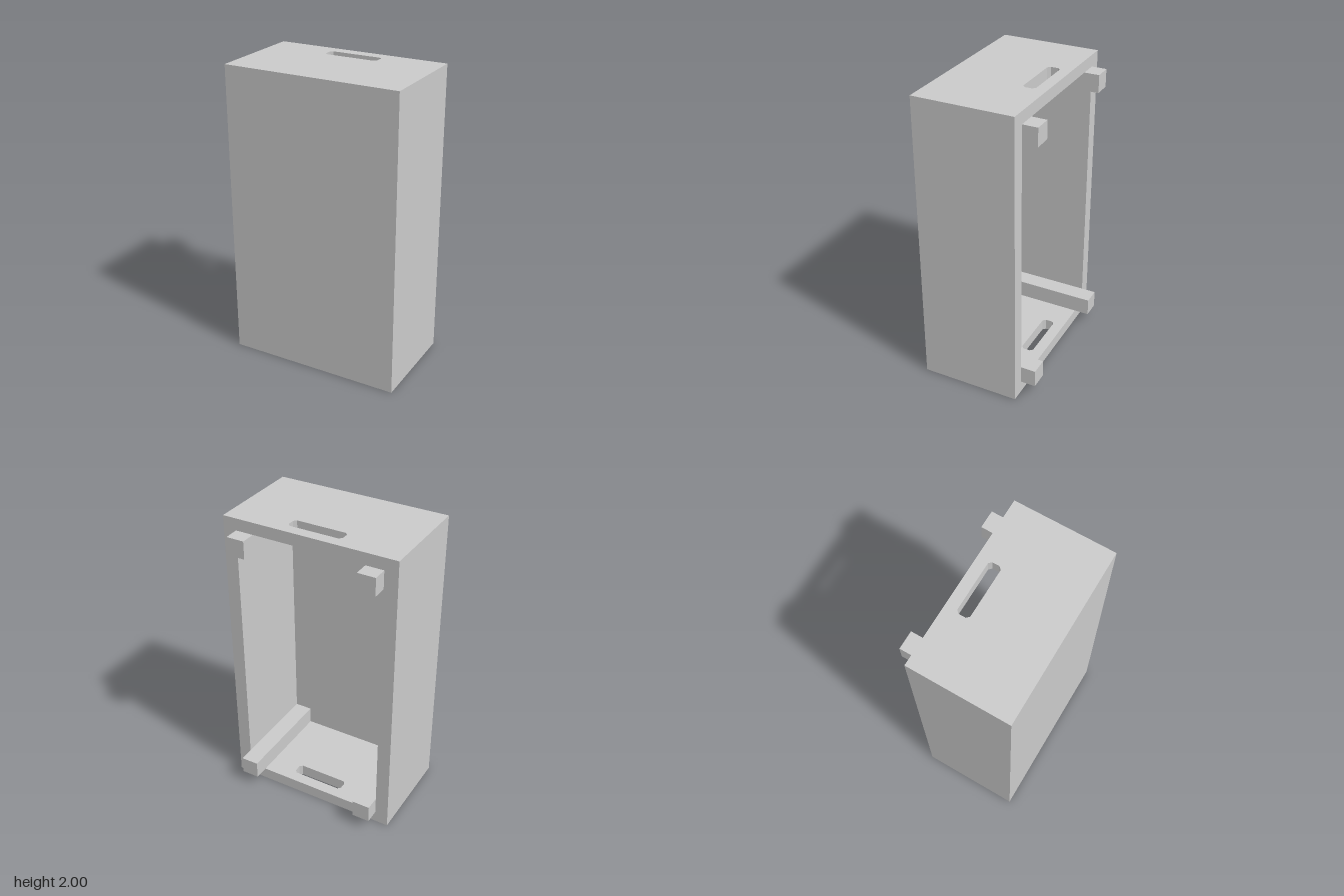
import * as THREE from 'three';

const W = 0.59, BACK = -0.285, FRONT = 0.385, H = 2;   // outer shell
const CAP = 0.08, INNER_X = 0.5, INNER_Z = 0.34;       // wall limits

const material = new THREE.MeshStandardMaterial({ color: 0xcccccc });

// Outline from [x, z] points, drawn in plan
const plan = (points, Type = THREE.Shape) =>
  new Type(points.map(([x, z]) => new THREE.Vector2(x, -z)));

// Extrude a plan outline upwards from y = bottom
function upright(shape, bottom, height, name) {
  const geometry = new THREE.ExtrudeGeometry(shape, { depth: height, bevelEnabled: false });
  geometry.rotateX(-Math.PI / 2);
  const mesh = new THREE.Mesh(geometry, material);
  mesh.position.y = bottom;
  mesh.name = name;
  return mesh;
}

// Top or bottom panel with a grip slot that has clipped corners
function capPanel(bottom, name) {
  const shape = plan([[-W, FRONT], [W, FRONT], [W, BACK], [-W, BACK]]);
  const x = 0.183, z0 = -0.21, z1 = -0.126, c = 0.018;
  shape.holes.push(plan([
    [-x + c, z0], [x - c, z0], [x, z0 + c], [x, z1 - c],
    [x - c, z1], [-x + c, z1], [-x, z1 - c], [-x, z0 + c],
  ], THREE.Path));
  return upright(shape, bottom, CAP, name);
}

export function createModel() {
  const model = new THREE.Group();
  model.name = 'openBackBox';

  // Front and side walls as one U-shaped section, open at the back
  const walls = plan([
    [-W, FRONT], [W, FRONT], [W, BACK], [INNER_X, BACK],
    [INNER_X, INNER_Z], [-INNER_X, INNER_Z], [-INNER_X, BACK], [-W, BACK],
  ]);
  model.add(upright(walls, CAP, H - 2 * CAP, 'walls'));
  model.add(capPanel(0, 'bottomPanel'), capPanel(H - CAP, 'topPanel'));

  // Square corner bars running from the front wall out past the open back
  const size = 0.12, end = -0.385;
  const barGeometry = new THREE.BoxGeometry(size, size, INNER_Z - end);
  for (const [side, sx] of [['Left', 1], ['Right', -1]]) {
    for (const [level, y] of [['lower', CAP + size / 2], ['upper', H - CAP - size / 2]]) {
      const bar = new THREE.Mesh(barGeometry, material);
      bar.position.set(sx * (INNER_X - size / 2), y, (INNER_Z + end) / 2);
      bar.name = `${level}${side}Bar`;
      model.add(bar);
    }
  }
  return model;
}
